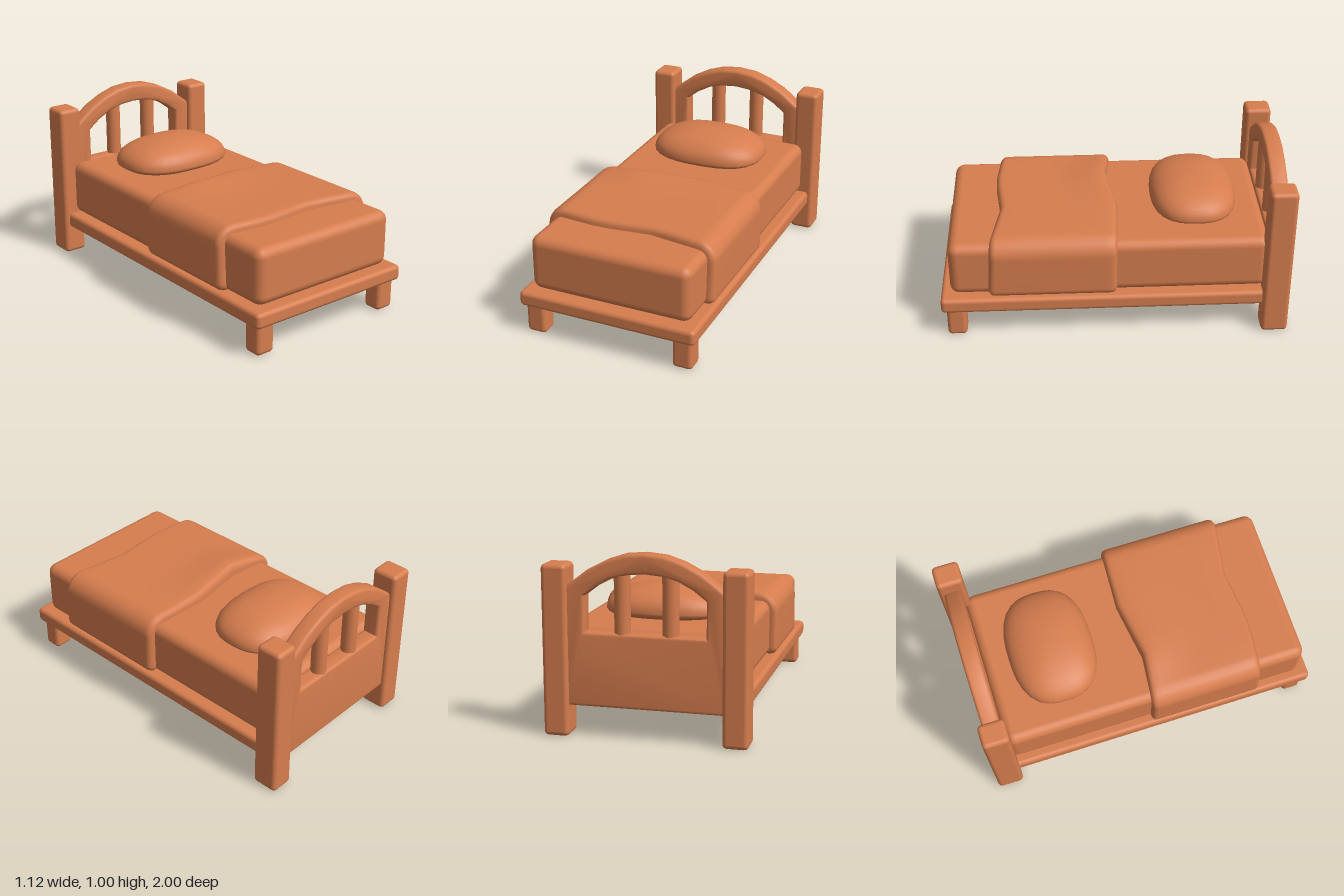
import * as THREE from 'three';
import { toCreasedNormals, mergeVertices } from 'three/addons/utils/BufferGeometryUtils.js';
import { RoundedBoxGeometry } from 'three/addons/geometries/RoundedBoxGeometry.js';

const clay = new THREE.MeshStandardMaterial({ color: 0xd67d4e });
clay.name = 'terracotta';

function add(group, name, geometry) {
  const mesh = new THREE.Mesh(geometry, clay);
  mesh.name = name;
  group.add(mesh);
  return mesh;
}

// Rounded box given by its limits on each axis
function block(group, name, [x0, x1], [y0, y1], [z0, z1], radius) {
  const geometry = new RoundedBoxGeometry(x1 - x0, y1 - y0, z1 - z0, 3, radius);
  geometry.translate((x0 + x1) / 2, (y0 + y1) / 2, (z0 + z1) / 2);
  add(group, name, geometry);
}

// Piecewise linear curve through [x, value] points
function along(points, x) {
  if (x <= points[0][0]) return points[0][1];
  for (let i = 1; i < points.length; i++) {
    const [ax, av] = points[i - 1], [bx, bv] = points[i];
    if (x <= bx) return av + (bv - av) * (x - ax) / (bx - ax);
  }
  return points[points.length - 1][1];
}

// Arched headboard with an open window above a solid panel
function headboardGeometry() {
  const outer = [[0.45, 0.8], [0.42, 0.825], [0.31, 0.91], [0.21, 0.962], [0.11, 0.995], [0, 1.005]];
  const inner = [[0.33, 0.575], [0.33, 0.77], [0.26, 0.823], [0.18, 0.866], [0.09, 0.889], [0, 0.897]];
  const mirror = pts => [...pts, ...pts.slice(0, -1).reverse().map(([x, y]) => [-x, y])]
    .map(([x, y]) => new THREE.Vector2(x, y));
  const shape = new THREE.Shape(mirror([[0.45, 0.17], ...outer]));
  shape.holes.push(new THREE.Path(mirror(inner)));
  const bevel = 0.018;
  const geometry = new THREE.ExtrudeGeometry(shape, {
    depth: 0.1 - 2 * bevel, bevelThickness: bevel, bevelSize: bevel,
    bevelOffset: -bevel, bevelSegments: 3,
  });
  geometry.translate(0, 0, -0.974 + bevel);
  return toCreasedNormals(geometry, 0.6);
}

// Blanket lofted along z from rounded cross-sections, with wavy ends and a raised fold
function blanketGeometry() {
  const back = [[-0.52, -0.01], [-0.22, 0.02], [0.12, -0.03], [0.5, -0.01]];
  const front = [[-0.5, 0.655], [-0.18, 0.685], [0.12, 0.652], [0.46, 0.705]];
  const fold = [[-0.43, 0], [-0.22, 0.033], [0.36, 0]];
  const x1 = 0.525, y0 = 0.268, y1 = 0.635;

  function outline(inset) {
    const pts = [];
    const corner = (sx, sy, radius, start) => {
      const r = Math.max(radius - inset, 0.005);
      const cx = sx * (x1 - inset - r);
      const cy = sy > 0 ? y1 - inset - r : y0 + inset + r;
      for (let i = 0; i <= 6; i++) {
        const a = start + i * Math.PI / 12;
        pts.push([cx + r * Math.cos(a), cy + r * Math.sin(a)]);
      }
    };
    corner(1, -1, 0.045, -Math.PI / 2);
    corner(1, 1, 0.11, 0);
    for (const x of [0.3, 0.2, 0.12, 0, -0.11, -0.22, -0.32]) pts.push([x, y1 - inset]);
    corner(-1, 1, 0.11, Math.PI / 2);
    corner(-1, -1, 0.045, Math.PI);
    return pts;
  }

  // [inset, fraction of the length, offset in z, fold height]
  const rows = [
    [0.075, 0, 0, 0], [0.03, 0, 0, 0.3], [0.014, 0, 0.007, 0.6], [0.004, 0, 0.018, 0.8],
    [0, 0, 0.035, 0.92], [0, 0, 0.065, 1], [0, 0, 0.11, 0.85], [0, 0.25, 0.03, 0.4],
    [0, 0.45, 0, 0], [0, 0.75, 0, 0], [0, 1, -0.035, 0], [0.004, 1, -0.018, 0],
    [0.014, 1, -0.007, 0], [0.03, 1, 0, 0], [0.075, 1, 0, 0],
  ];
  const positions = [], index = [];
  const n = outline(0).length;
  rows.forEach(([inset, f, dz, lift], i) => {
    outline(inset).forEach(([x, y], j) => {
      const za = along(back, x), zb = along(front, x) + 0.02 * f * (y1 - y) / (y1 - y0);
      const raise = y > 0.52 ? lift * along(fold, x) : 0;
      positions.push(x, y + raise, za + (zb - za) * f + dz);
      if (i === rows.length - 1) return;
      const a = i * n + j, b = i * n + (j + 1) % n;
      index.push(a, b, a + n, b, b + n, a + n);
    });
  });
  const geometry = new THREE.BufferGeometry();
  geometry.setAttribute('position', new THREE.Float32BufferAttribute(positions, 3));
  geometry.setIndex(index);
  geometry.computeVertexNormals();
  return geometry;
}

// Pillow: a sphere squared off in plan, plump above and flat below
function pillowGeometry() {
  const sphere = new THREE.SphereGeometry(1, 32, 20);
  sphere.deleteAttribute('uv');
  sphere.deleteAttribute('normal');
  const p = sphere.attributes.position;
  for (let i = 0; i < p.count; i++) {
    const x = p.getX(i), y = p.getY(i), z = p.getZ(i);
    const r = Math.hypot(x, z);
    const plan = r < 1e-5 ? 1 : (Math.abs(x / r) ** 2.6 + Math.abs(z / r) ** 2.6) ** (-1 / 2.6);
    const power = y > 0 ? 2.15 : 2.6;
    const side = (r ** power + Math.abs(y) ** power) ** (-1 / power);
    p.setXYZ(i, x * plan * side * 0.345, y * side * (y > 0 ? 0.138 : 0.052), z * plan * side * 0.25);
  }
  const geometry = mergeVertices(sphere, 1e-5);
  geometry.computeVertexNormals();
  return geometry;
}

export function createModel() {
  const bed = new THREE.Group();
  bed.name = 'bed';

  // Frame
  block(bed, 'base', [-0.53, 0.53], [0.172, 0.263], [-0.88, 1], 0.025);
  add(bed, 'headboard', headboardGeometry());
  for (const [side, s] of [['left', 1], ['right', -1]]) {
    const span = (a, b) => (s > 0 ? [a, b] : [-b, -a]);
    block(bed, side + 'Post', span(0.42, 0.56), [0, 0.935], [-1, -0.845], 0.025);
    block(bed, side + 'FrontLeg', span(0.387, 0.505), [0, 0.2], [0.86, 0.972], 0.025);
    const spindle = add(bed, side + 'Spindle', new THREE.CylinderGeometry(0.044, 0.044, 0.36, 20));
    spindle.position.set(s * 0.131, 0.72, -0.924);
  }

  // Bedding
  block(bed, 'mattress', [-0.48, 0.48], [0.262, 0.59], [-0.876, 0.945], 0.055);
  add(bed, 'blanket', blanketGeometry());
  add(bed, 'pillow', pillowGeometry()).position.set(0, 0.636, -0.475);

  return bed;
}
